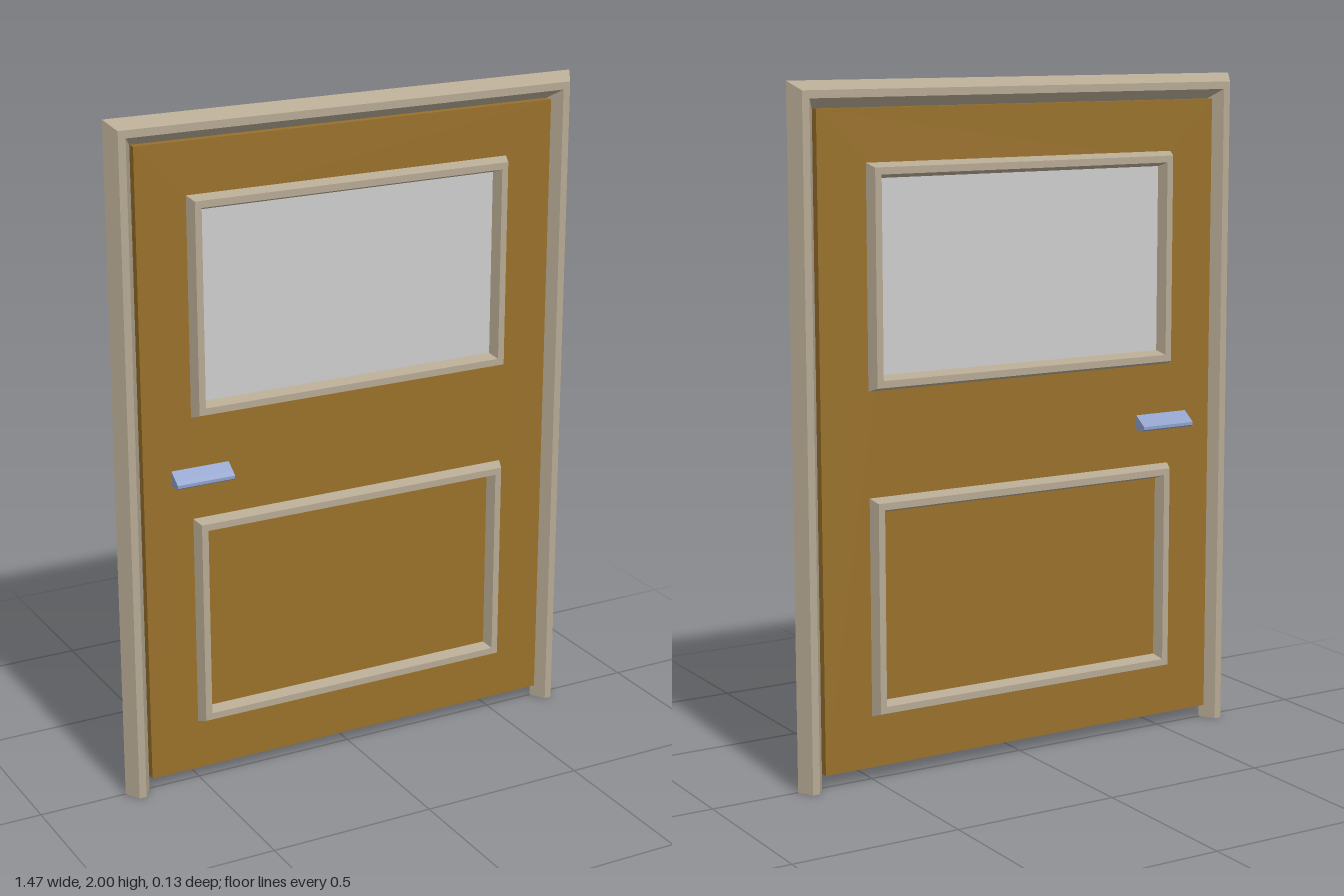
import * as THREE from 'three';

const material = (color) => new THREE.MeshStandardMaterial({ color, flatShading: true });

// Sweeps a closed [outward, z] profile along mitred corners [x, y, outX, outY],
// listed clockwise as seen from the front.
function mitredSweep(profile, corners, closed) {
  const pos = [];
  const n = profile.length;
  const rings = corners.map(([x, y, ox, oy]) =>
    profile.map(([o, z]) => [x + ox * o, y + oy * o, z]));
  const tri = (a, b, c) => pos.push(...a, ...b, ...c);
  const spans = closed ? rings.length : rings.length - 1;
  for (let i = 0; i < spans; i++) {
    const r = rings[i], s = rings[(i + 1) % rings.length];
    for (let j = 0; j < n; j++) {
      const k = (j + 1) % n;
      tri(r[j], r[k], s[k]);
      tri(r[j], s[k], s[j]);
    }
  }
  if (!closed) {
    const a = rings[0], b = rings[rings.length - 1];
    for (let j = 1; j < n - 1; j++) {
      tri(a[0], a[j + 1], a[j]);
      tri(b[0], b[j], b[j + 1]);
    }
  }
  const g = new THREE.BufferGeometry();
  g.setAttribute('position', new THREE.Float32BufferAttribute(pos, 3));
  g.computeVertexNormals();
  return g;
}

// Six-sided profile: outermost and innermost points at z = 0, flats front and back.
const hexProfile = (outer, flatOut, flatIn, inner, z) => [
  [outer, 0], [flatOut, z], [flatIn, z], [inner, 0], [flatIn, -z], [flatOut, -z],
];

export function createModel() {
  const group = new THREE.Group();
  const beige = material(0xb5a892);
  const brown = material(0x98702a);
  const steel = material(0x8f9fc8);
  const grey = material(0xcccccc);
  const add = (name, geometry, mat) => {
    const mesh = new THREE.Mesh(geometry, mat);
    mesh.name = name;
    group.add(mesh);
    return mesh;
  };

  const half = 0.025; // half thickness of the door leaf
  const upper = [1.135, 1.775], lower = [0.193, 0.833];

  // Door frame: two jambs and a head, mitred at the top
  const fx = 0.66, fy = 1.924;
  add('doorFrame', mitredSweep(hexProfile(0.076, 0.051, 0.029, 0, 0.045),
    [[-fx, 0, -1, 0], [-fx, fy, -1, 1], [fx, fy, 1, 1], [fx, 0, 1, 0]], false), beige);

  // Door leaf with the window opening
  const leaf = new THREE.Shape([[-fx, 0.043], [fx, 0.043], [fx, fy], [-fx, fy]]
    .map(([x, y]) => new THREE.Vector2(x, y)));
  const wx = 0.485, wy0 = upper[0] + 0.025, wy1 = upper[1] - 0.025;
  leaf.holes.push(new THREE.Path([[-wx, wy0], [-wx, wy1], [wx, wy1], [wx, wy0]]
    .map(([x, y]) => new THREE.Vector2(x, y))));
  const leafGeo = new THREE.ExtrudeGeometry(leaf, { depth: 2 * half, bevelEnabled: false });
  add('doorLeaf', leafGeo.translate(0, 0, -half), brown);

  // Window pane
  add('windowPane', new THREE.BoxGeometry(2 * wx, wy1 - wy0, 2 * half), grey)
    .position.y = (wy0 + wy1) / 2;

  // Mouldings around the window and the lower panel
  const mx = 0.463, inset = 0.048;
  for (const [name, [y0, y1]] of [['windowMoulding', upper], ['panelMoulding', lower]]) {
    const b = y0 + inset, t = y1 - inset;
    add(name, mitredSweep(hexProfile(0.056, 0.035, 0.015, -0.006, 0.057),
      [[-mx, b, -1, -1], [-mx, t, -1, 1], [mx, t, 1, 1], [mx, b, 1, -1]], true), beige);
  }

  // Handles on both faces: a bar with a sloping top
  const section = [[0.02, 0.943], [0.06, 0.943], [0.067, 0.948], [0.067, 0.957],
    [0.055, 0.966], [0.025, 0.987], [0.02, 0.987]];
  const length = 0.178, hx = -0.485;
  for (const [name, side] of [['frontHandle', 1], ['backHandle', -1]]) {
    const shape = new THREE.Shape(section.map(([z, y]) => new THREE.Vector2(z, y)));
    const bar = new THREE.ExtrudeGeometry(shape, { depth: length, bevelEnabled: false });
    bar.translate(0, 0, -length / 2).rotateY(-side * Math.PI / 2);
    add(name, bar, steel).position.x = hx;
  }
  return group;
}
